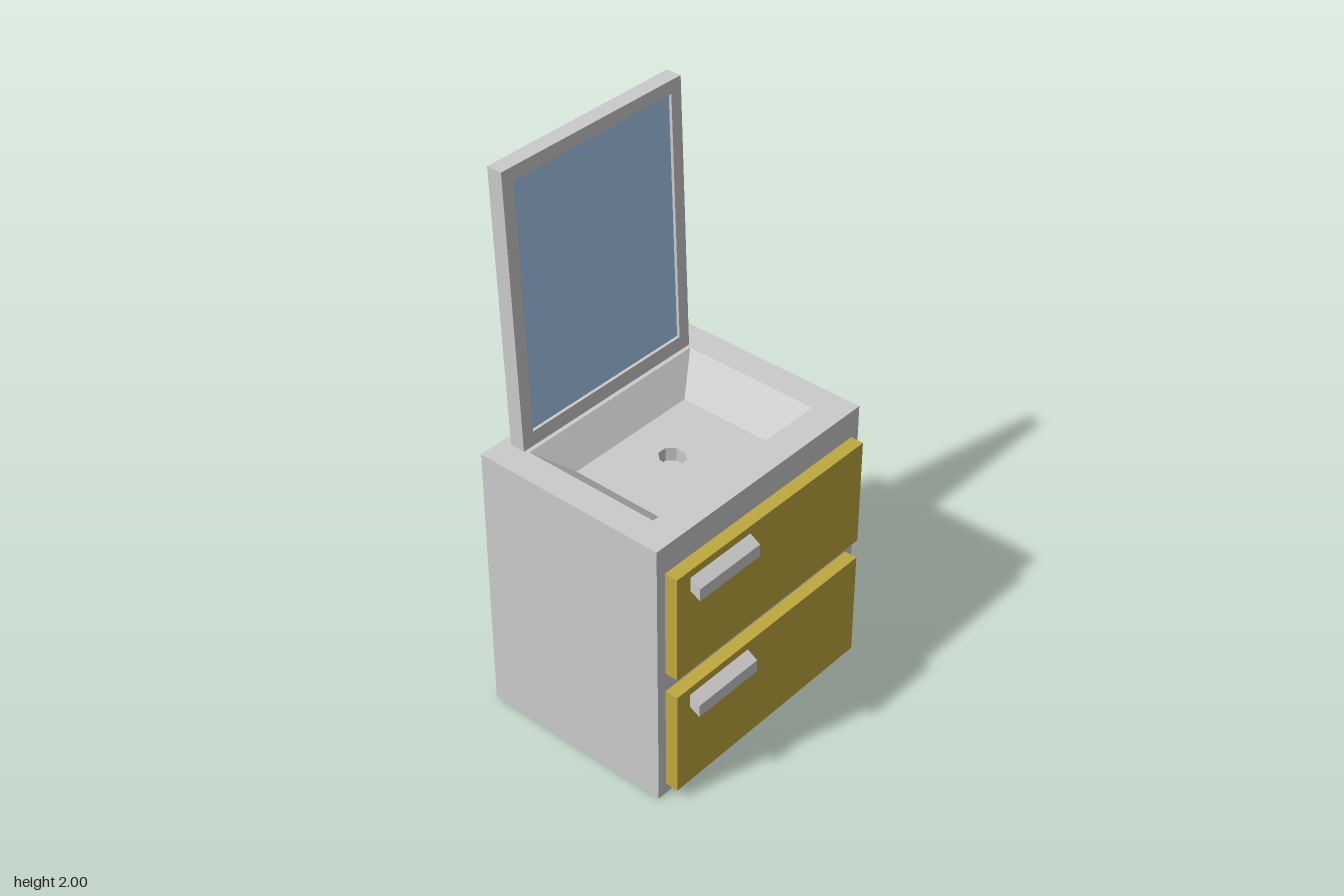
import * as THREE from 'three';

const grey = new THREE.MeshStandardMaterial({ color: 0xcccccc, flatShading: true });
const greyTwoSided = new THREE.MeshStandardMaterial({ color: 0xcccccc, flatShading: true, side: THREE.DoubleSide });
const yellow = new THREE.MeshStandardMaterial({ color: 0xbfa83f });
const blue = new THREE.MeshStandardMaterial({ color: 0xa6c8ee });

function add(parent, name, geometry, material, x = 0, y = 0, z = 0) {
  const mesh = new THREE.Mesh(geometry, material);
  mesh.name = name;
  mesh.position.set(x, y, z);
  parent.add(mesh);
  return mesh;
}

// Rectangular outline, counter-clockwise
function rect(Type, x0, y0, x1, y1) {
  return new Type([[x0, y0], [x1, y0], [x1, y1], [x0, y1]].map(p => new THREE.Vector2(...p)));
}

// Skin between rectangular rings [halfWidth, y, zBack, zFront], faces outward going up
function loftRings(rings) {
  const corners = rings.map(([w, y, zb, zf]) => [[-w, y, zf], [w, y, zf], [w, y, zb], [-w, y, zb]]);
  const pos = [];
  for (let r = 0; r < corners.length - 1; r++) {
    for (let i = 0; i < 4; i++) {
      const j = (i + 1) % 4;
      const a = corners[r][i], b = corners[r][j], c = corners[r + 1][j], d = corners[r + 1][i];
      pos.push(...a, ...b, ...c, ...a, ...c, ...d);
    }
  }
  const g = new THREE.BufferGeometry();
  g.setAttribute('position', new THREE.Float32BufferAttribute(pos, 3));
  g.computeVertexNormals();
  return g;
}

export function createModel() {
  const model = new THREE.Group();
  model.name = 'vanityUnit';

  const top = 1.017, back = -0.407, front = 0.32;
  const floorY = top - 0.105;

  // Cabinet: walls, rim and sloping basin sides in one skin
  add(model, 'cabinet', loftRings([
    [0.486, 0, back, front],
    [0.486, top, back, front],
    [0.38, top, -0.301, 0.212],
    [0.258, floorY, -0.22, 0.13],
  ]), grey);
  const base = new THREE.PlaneGeometry(0.972, front - back).rotateX(Math.PI / 2);
  add(model, 'cabinetBase', base, grey, 0, 0, (front + back) / 2);

  // Basin floor with an octagonal drain
  const drainZ = -0.045, drainR = 0.0465, drainDepth = 0.05;
  const floor = rect(THREE.Shape, -0.258, -0.13, 0.258, 0.22);
  const hole = [];
  for (let i = 0; i < 8; i++) {
    const a = (i + 0.5) * Math.PI / 4;
    hole.push(new THREE.Vector2(Math.cos(a) * drainR * 0.95, -drainZ + Math.sin(a) * drainR * 1.06));
  }
  floor.holes.push(new THREE.Path(hole));
  add(model, 'basinFloor', new THREE.ShapeGeometry(floor).rotateX(-Math.PI / 2), grey, 0, floorY, 0);

  const well = new THREE.CylinderGeometry(drainR, drainR, drainDepth, 8, 1, true).rotateY(Math.PI / 8);
  add(model, 'drainWall', well, greyTwoSided, 0, floorY - drainDepth / 2, drainZ).scale.set(0.95, 1, 1.06);
  const plug = new THREE.CircleGeometry(drainR, 8, Math.PI / 8).rotateX(-Math.PI / 2);
  add(model, 'drainBottom', plug, grey, 0, floorY - drainDepth, drainZ).scale.set(0.95, 1, 1.06);

  // Two drawers, each with a slanted handle on one side
  const profile = new THREE.Shape([[0, 0.02], [0.039, 0], [0.039, 0.047], [0, 0.07]].map(p => new THREE.Vector2(...p)));
  const handleGeo = new THREE.ExtrudeGeometry(profile, { depth: 0.28, bevelEnabled: false }).rotateY(-Math.PI / 2);
  [['lower', 0.04], ['upper', 0.514]].forEach(([label, y]) => {
    const drawer = new THREE.Group();
    drawer.name = label + 'Drawer';
    drawer.position.set(0, y, front);
    add(drawer, 'drawerFront', new THREE.BoxGeometry(0.9, 0.4, 0.048), yellow, 0, 0.2, 0.024);
    add(drawer, 'handle', handleGeo, grey, -0.11, 0.302, 0.048);
    model.add(drawer);
  });

  // Mirror, sheared backward so its top and bottom stay level
  const h = 2 - top - 0.001, w = 0.39, thick = 0.056, lip = 0.012;
  const lean = new THREE.Matrix4().makeShear(0, 0, 0, -0.036 / h, 0, 0);
  lean.set(1, 0, 0, 0, 0, 1, 0, 0, 0, -0.036 / h, 1, 0, 0, 0, 0, 1);
  const mirror = new THREE.Group();
  mirror.name = 'mirror';
  mirror.position.set(0, top + 0.001, -0.371);

  const outline = rect(THREE.Shape, -w, 0, w, h);
  outline.holes.push(rect(THREE.Path, -0.345, 0.052, 0.345, h - 0.046));
  const frame = new THREE.ExtrudeGeometry(outline, { depth: lip, bevelEnabled: false }).translate(0, 0, thick - lip);
  add(mirror, 'mirrorFrame', frame.applyMatrix4(lean), grey);

  const panel = new THREE.BoxGeometry(2 * w, h, thick - lip).translate(0, h / 2, (thick - lip) / 2);
  add(mirror, 'mirrorBack', panel.applyMatrix4(lean), grey);

  const glass = new THREE.ShapeGeometry(rect(THREE.Shape, -0.345, 0.052, 0.345, h - 0.046)).translate(0, 0, thick - lip + 0.001);
  add(mirror, 'mirrorGlass', glass.applyMatrix4(lean), blue);
  model.add(mirror);

  return model;
}
